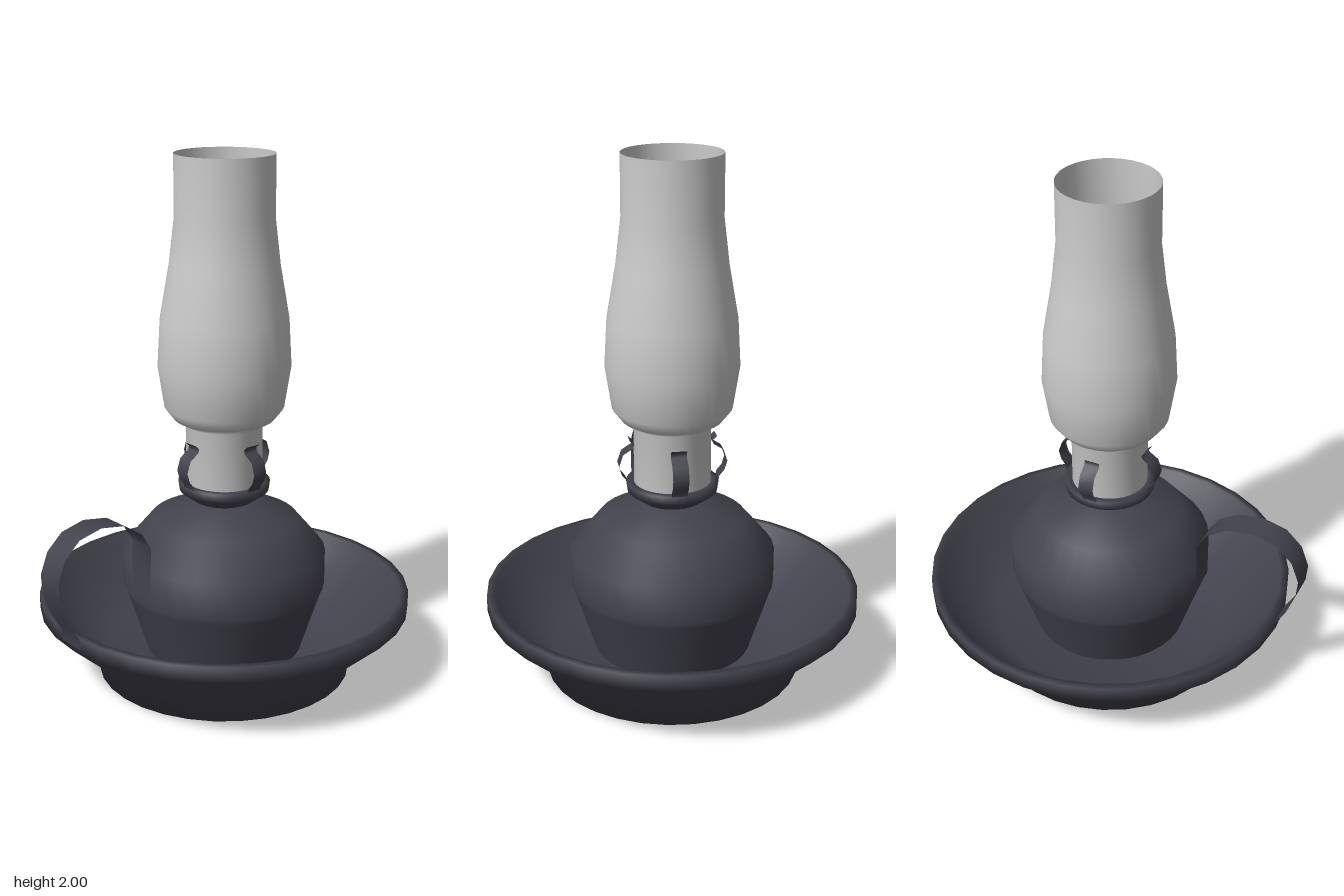
import * as THREE from 'three';

const AXIS_Z = -0.045;
const metal = new THREE.MeshStandardMaterial({ color: 0x42424d });
const metalStrip = new THREE.MeshStandardMaterial({ color: 0x42424d, side: THREE.DoubleSide });
const glass = new THREE.MeshStandardMaterial({ color: 0xcccccc, side: THREE.DoubleSide });

// Turned part from [radius, height] pairs
function turned(name, profile, material) {
  const points = profile.map(([r, y]) => new THREE.Vector2(r, y));
  const mesh = new THREE.Mesh(new THREE.LatheGeometry(points, 32), material);
  mesh.name = name;
  return mesh;
}

// Thin bent strip of a given width that follows [z, y] points
function strip(name, width, path) {
  const geo = new THREE.PlaneGeometry(width, 1, 1, path.length - 1);
  const pos = geo.attributes.position;
  for (let i = 0; i < pos.count; i++) {
    const [z, y] = path[Math.floor(i / 2)];
    pos.setXYZ(i, pos.getX(i), y, z);
  }
  geo.computeVertexNormals();
  const mesh = new THREE.Mesh(geo, metalStrip);
  mesh.name = name;
  return mesh;
}

export function createModel() {
  const model = new THREE.Group();
  model.name = 'oilLamp';

  const body = new THREE.Group();
  body.name = 'lampBody';
  body.position.z = AXIS_Z;
  model.add(body);

  // Saucer with a foot, flared wall and upright rim
  body.add(turned('saucer', [
    [0, 0], [0.49, 0], [0.49, 0.07], [0.715, 0.27], [0.715, 0.33],
    [0.685, 0.33], [0.67, 0.285], [0.46, 0.09], [0, 0.08],
  ], metal));

  // Oil reservoir
  body.add(turned('reservoir', [
    [0.3, 0.08], [0.38, 0.33], [0.39, 0.355], [0.39, 0.49],
    [0.28, 0.62], [0.09, 0.685], [0, 0.69],
  ], metal));

  // Burner collar
  body.add(turned('burnerCollar', [
    [0.09, 0.68], [0.115, 0.69], [0.17, 0.73], [0.175, 0.765],
    [0.15, 0.765], [0.12, 0.74], [0, 0.755],
  ], metal));

  // Chimney, open at the top
  body.add(turned('chimney', [
    [0.12, 0.755], [0.145, 0.765], [0.145, 0.99], [0.19, 1.015], [0.225, 1.06],
    [0.25, 1.22], [0.24, 1.4], [0.205, 1.6], [0.185, 1.77], [0.185, 2],
  ], glass));

  // Four spring prongs holding the chimney
  for (let i = 0; i < 4; i++) {
    const prong = strip('prong', 0.06, [
      [0.165, 0.94], [0.148, 0.925], [0.152, 0.91], [0.19, 0.885], [0.205, 0.84],
      [0.195, 0.805], [0.175, 0.78], [0.17, 0.755],
    ]);
    prong.rotation.y = i * Math.PI / 2;
    body.add(prong);
  }

  // Carrying handle from the reservoir over to the saucer rim
  const handle = strip('handle', 0.11, [
    [0.355, 0.39], [0.355, 0.46], [0.351, 0.6], [0.39, 0.665], [0.468, 0.718],
    [0.57, 0.735], [0.665, 0.713], [0.729, 0.654], [0.76, 0.574], [0.755, 0.505],
    [0.723, 0.415], [0.678, 0.335], [0.675, 0.295],
  ]);
  handle.position.x = -0.005;
  model.add(handle);

  return model;
}
